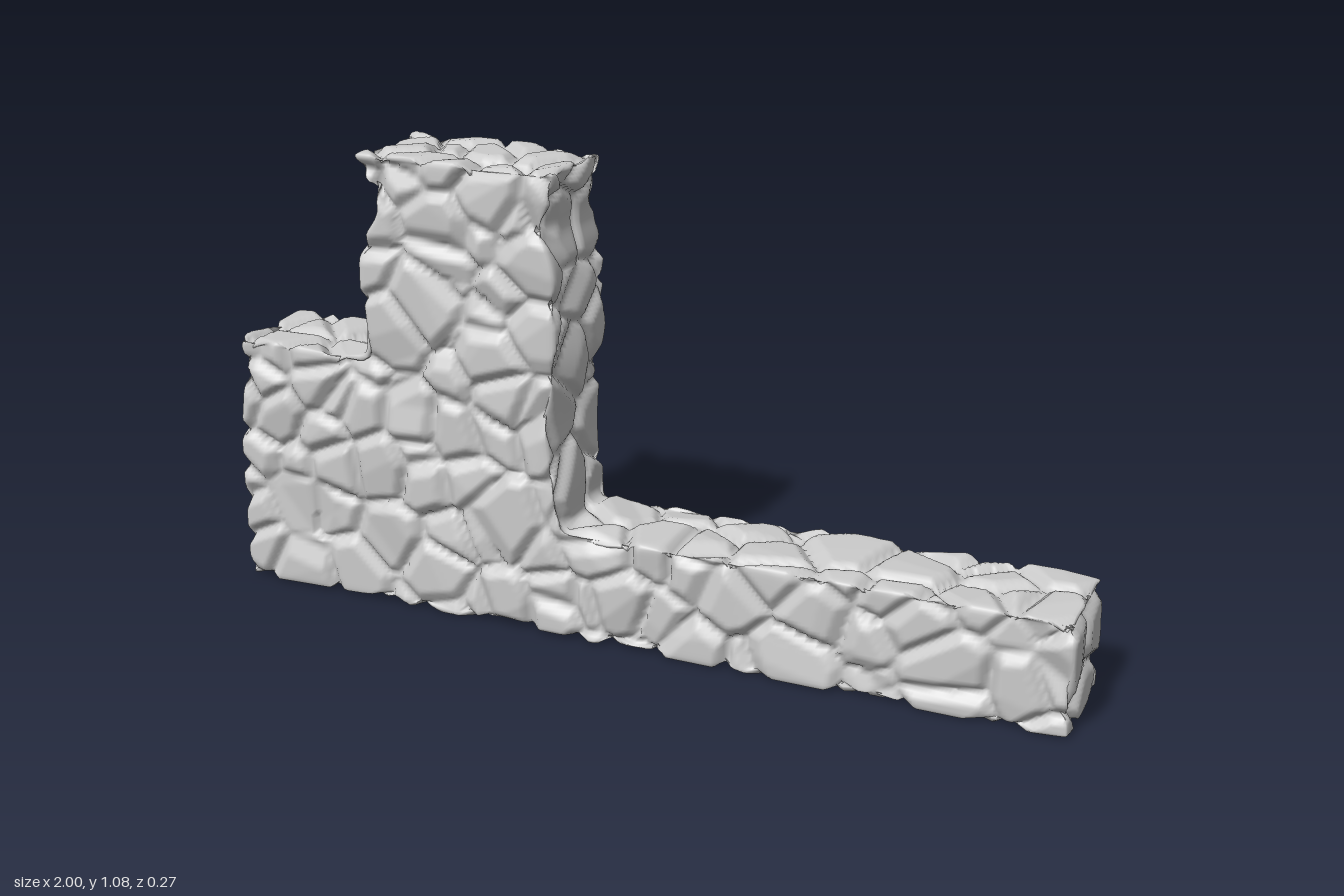
import * as THREE from 'three';

const H = 1 / 120;                       // lattice step
const NX = 240, NY = 129, NZ = 32;       // overall lattice size
const STONE = 0.135;                     // average stone spacing

// Stepped wall: low end block, tall pier, long low wall
const wallTop = (i) => (i < 42 ? 73 : i < 101 ? NY : 32);
const solid = (i, j, k) =>
  i >= 0 && i < NX && k >= 0 && k < NZ && j >= 0 && j < wallTop(i);

// Repeatable pseudo-random value in 0..1 for a lattice cell
function hash(i, j, k, n) {
  let h = Math.imul(i + 101, 374761393) ^ Math.imul(j + 57, 668265263) ^
    Math.imul(k + 31, 1274126177) ^ Math.imul(n + 7, 974634777);
  h = Math.imul(h ^ (h >>> 13), 1274126177);
  h = Math.imul(h ^ (h >>> 15), 2246822519);
  return ((h ^ (h >>> 16)) >>> 0) / 4294967296;
}

// Outer skin of the stepped block as a shared-vertex quad grid
function blockSkin() {
  const pos = [], index = [], ids = new Map();
  const vertex = (c) => {
    const key = (c[0] * 200 + c[1]) * 100 + c[2];
    if (!ids.has(key)) {
      ids.set(key, pos.length / 3);
      pos.push(c[0] * H - 1, c[1] * H, (c[2] - NZ / 2) * H);
    }
    return ids.get(key);
  };
  for (let i = 0; i < NX; i++) for (let j = 0; j < wallTop(i); j++) for (let k = 0; k < NZ; k++) {
    for (let a = 0; a < 3; a++) for (const s of [-1, 1]) {
      const n = [i, j, k];
      n[a] += s;
      if (solid(...n)) continue;
      const b = (a + 1) % 3, c = (a + 2) % 3;
      const q = [[0, 0], [1, 0], [1, 1], [0, 1]].map(([u, v]) => {
        const p = [i, j, k];
        if (s > 0) p[a]++;
        p[b] += u;
        p[c] += v;
        return vertex(p);
      });
      if (s < 0) q.reverse();
      index.push(q[0], q[1], q[2], q[0], q[2], q[3]);
    }
  }
  return { pos: new Float32Array(pos), index };
}

// Averages neighbouring vertices, which rounds the block's edges
function roundEdges(pos, index, passes) {
  for (let pass = 0; pass < passes; pass++) {
    const sum = new Float32Array(pos.length), count = new Uint16Array(pos.length / 3);
    const link = (a, b) => {
      for (let d = 0; d < 3; d++) {
        sum[a * 3 + d] += pos[b * 3 + d];
        sum[b * 3 + d] += pos[a * 3 + d];
      }
      count[a]++;
      count[b]++;
    };
    for (let t = 0; t < index.length; t += 6) {
      const q = [index[t], index[t + 1], index[t + 2], index[t + 5]];
      for (let e = 0; e < 4; e++) link(q[e], q[(e + 1) % 4]);
    }
    for (let v = 0; v < pos.length; v++) pos[v] = (pos[v] + sum[v] / count[Math.floor(v / 3)]) / 2;
  }
}

// Pinched neck below the pier's cap and slightly hollow sides
function shapeOutline(pos) {
  const bump = (y, at, width) => Math.exp(-(((y - at) / width) ** 2));
  const clamp = THREE.MathUtils.clamp;
  for (let v = 0; v < pos.length; v += 3) {
    const x = pos[v], y = pos[v + 1];
    const pierLeft = y > 0.62 ? clamp((-0.4 - x) / 0.25, 0, 1) : 0;
    const pierRight = x < -0.15 ? clamp((x + 0.4) / 0.24, 0, 1) : 0;
    const endLeft = clamp((-0.65 - x) / 0.35, 0, 1);
    pos[v] += pierLeft * 0.055 * bump(y, 0.955, 0.065)
      - pierRight * (0.027 * bump(y, 0.945, 0.06) + 0.022 * bump(y, 0.48, 0.11))
      + endLeft * 0.016 * bump(y, 0.5, 0.1);
  }
}

// How far the surface sinks at a point: joints between stones and tilted faces
function carveDepth(x, y, z) {
  const ci = Math.floor(x / STONE), cj = Math.floor(y / STONE), ck = Math.floor(z / STONE);
  const seeds = [];
  let best = null;
  for (let i = ci - 2; i <= ci + 2; i++) for (let j = cj - 2; j <= cj + 2; j++)
    for (let k = ck - 2; k <= ck + 2; k++) {
      const s = {
        i, j, k,
        x: (i + hash(i, j, k, 0)) * STONE,
        y: (j + hash(i, j, k, 1)) * STONE,
        z: (k + hash(i, j, k, 2)) * STONE,
      };
      s.d = (s.x - x) ** 2 + (s.y - y) ** 2 + (s.z - z) ** 2;
      seeds.push(s);
      if (!best || s.d < best.d) best = s;
    }
  let edge = 1;
  for (const s of seeds) {
    if (s === best) continue;
    const gap = Math.hypot(s.x - best.x, s.y - best.y, s.z - best.z);
    edge = Math.min(edge, (s.d - best.d) / (2 * gap));
  }
  const tilt = (n) => (hash(best.i, best.j, best.k, n) - 0.5) * 0.4;
  const slant = (x - best.x) * tilt(3) + (y - best.y) * tilt(4) + (z - best.z) * tilt(5);
  const bevel = Math.max(0, 1 - edge / 0.02);
  return 0.02 * bevel + THREE.MathUtils.clamp(slant, 0, 0.012);
}

export function createModel() {
  const { pos, index } = blockSkin();
  roundEdges(pos, index, 8);
  shapeOutline(pos);

  const geometry = new THREE.BufferGeometry();
  geometry.setAttribute('position', new THREE.BufferAttribute(pos, 3));
  geometry.setIndex(index);
  geometry.computeVertexNormals();

  // Carve the stones inwards along the normals
  const normal = geometry.attributes.normal.array;
  for (let v = 0; v < pos.length; v += 3) {
    const depth = carveDepth(pos[v], pos[v + 1], pos[v + 2]);
    for (let d = 0; d < 3; d++) pos[v + d] -= normal[v + d] * depth;
  }
  geometry.computeVertexNormals();

  const wall = new THREE.Mesh(geometry, new THREE.MeshStandardMaterial({ color: 0xcccccc }));
  wall.name = 'stoneWall';
  const group = new THREE.Group();
  group.name = 'steppedStoneWall';
  group.add(wall);
  return group;
}
